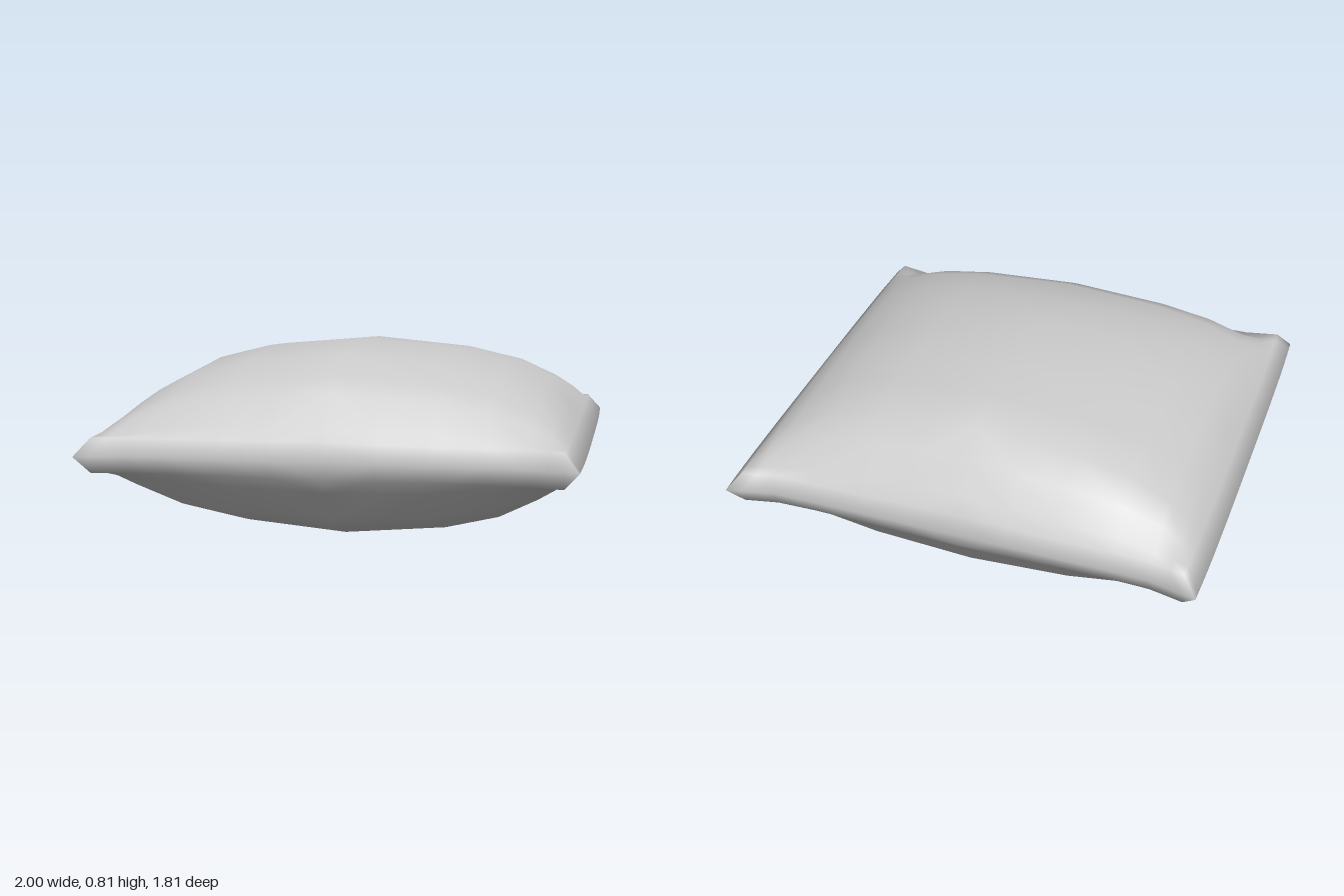
import * as THREE from 'three';

const HALF_HEIGHT = 0.405;
const RIM = 0.07; // least puff just inside the seam, keeps the corners plump

// Cross-sections as [position, relative puff]
const sideProfile = [[0, 1], [0.21, 0.95], [0.42, 0.9], [0.64, 0.76], [0.8, 0.55], [0.88, 0.4], [0.94, 0.19], [1, 0]];
const frontProfile = [[0, 1], [0.19, 0.965], [0.38, 0.925], [0.6, 0.76], [0.7, 0.63], [0.78, 0.33], [0.83, 0.19], [0.86, 0]];
const backProfile = [[0, 1], [0.2, 0.965], [0.4, 0.925], [0.6, 0.85], [0.7, 0.63], [0.78, 0.33], [0.83, 0.19], [0.86, 0]];

// Join two half profiles into one running from negative to positive
const join = (neg, pos) => [...neg.slice(1).reverse().map(([p, h]) => [-p, h]), ...pos];

function cushionGeometry() {
  const columns = join(sideProfile, sideProfile);
  const rows = join(backProfile, frontProfile);
  const n = columns.length;
  const positions = [];
  const indices = [];
  const ids = new Map();

  // Both halves share the vertices on the seam
  function vertex(i, j, side) {
    const [x, f] = columns[i];
    const [z, g] = rows[j];
    const seam = f === 0 || g === 0;
    const key = `${i},${j},${seam ? 0 : side}`;
    if (!ids.has(key)) {
      const puff = seam ? 0 : Math.max(HALF_HEIGHT * f * g, RIM);
      const flare = Math.max(0, (Math.abs(x) - 0.78) / 0.22);
      ids.set(key, positions.length / 3);
      positions.push(x * (1 - 0.01 * (z / 0.86) ** 4), HALF_HEIGHT + side * puff, z * (1 + 0.055 * flare));
    }
    return ids.get(key);
  }

  for (const side of [1, -1]) {
    const face = (a, b, c) => indices.push(...(side > 0 ? [a, b, c] : [a, c, b]));
    for (let j = 0; j < n - 1; j++) {
      for (let i = 0; i < n - 1; i++) {
        const a = vertex(i, j, side), b = vertex(i, j + 1, side);
        const c = vertex(i + 1, j + 1, side), d = vertex(i + 1, j, side);
        // Diagonals run toward the corners in every quarter
        if ((i < (n - 1) / 2) === (j < (n - 1) / 2)) {
          face(a, b, c);
          face(a, c, d);
        } else {
          face(a, b, d);
          face(b, c, d);
        }
      }
    }
  }

  const geometry = new THREE.BufferGeometry();
  geometry.setAttribute('position', new THREE.Float32BufferAttribute(positions, 3));
  geometry.setIndex(indices);
  geometry.computeVertexNormals();
  return geometry;
}

export function createModel() {
  const model = new THREE.Group();
  model.name = 'pillow';
  const cushion = new THREE.Mesh(cushionGeometry(), new THREE.MeshStandardMaterial({ color: 0xcccccc }));
  cushion.name = 'cushion';
  model.add(cushion);
  return model;
}
